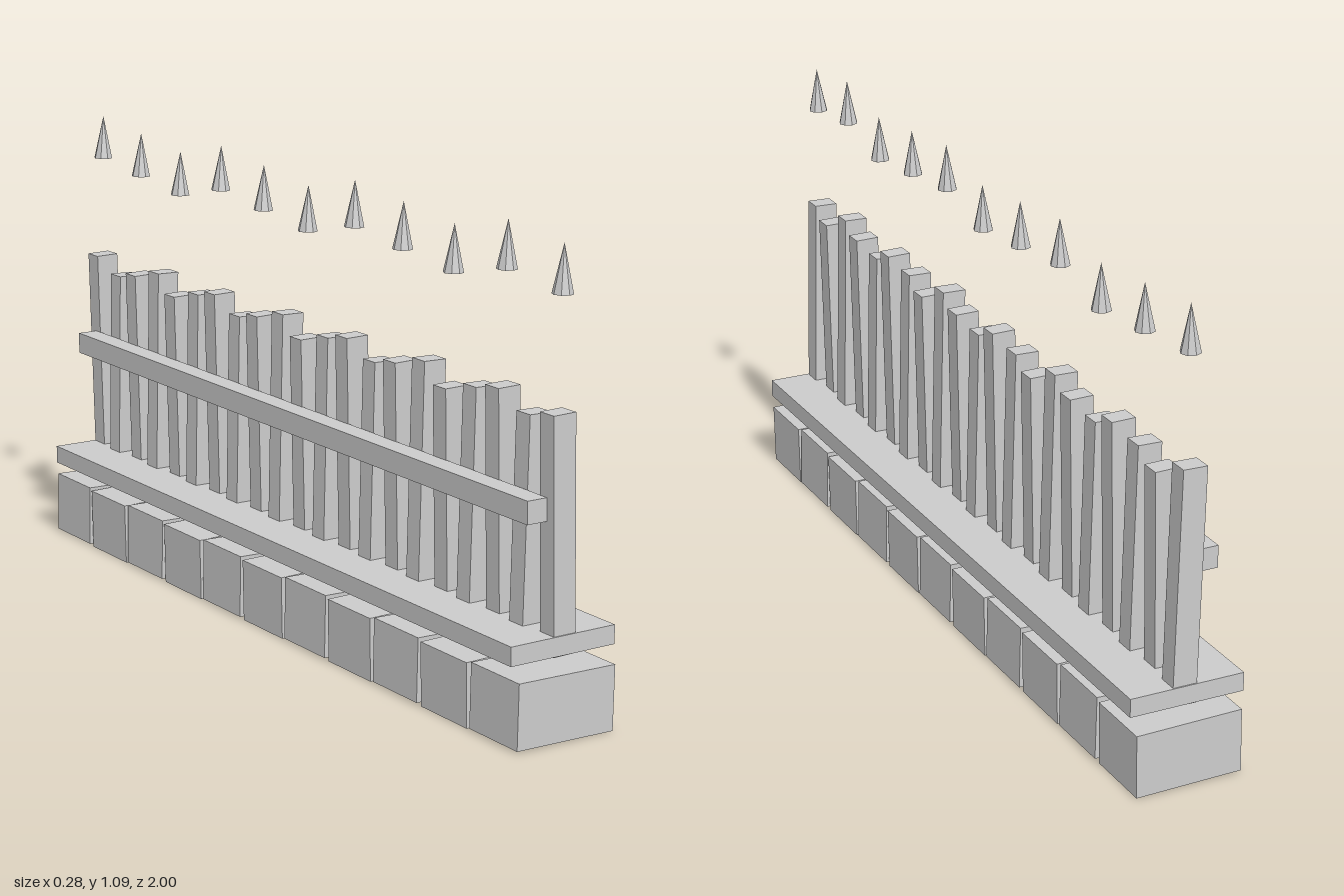
import * as THREE from 'three';

const material = new THREE.MeshStandardMaterial({ color: 0xcccccc, flatShading: true });

function addPart(parent, name, geometry, x, y, z, tilt = 0) {
  const mesh = new THREE.Mesh(geometry, material);
  mesh.name = name;
  mesh.position.set(x, y, z);
  mesh.rotation.z = tilt;
  parent.add(mesh);
  return mesh;
}

export function createModel() {
  const model = new THREE.Group();
  model.name = 'fence';

  // Row of foundation stones, tilted alternately
  const stones = new THREE.Group();
  stones.name = 'foundationStones';
  const stoneCount = 11, stonePitch = 0.183;
  const stone = new THREE.BoxGeometry(0.257, 0.15, 0.17);
  for (let i = 0; i < stoneCount; i++) {
    const z = ((stoneCount - 1) / 2 - i) * stonePitch;
    addPart(stones, 'stone', stone, 0, 0.0775, z, i % 2 ? 0.018 : -0.018);
  }
  model.add(stones);

  // Base plank and the rail behind the pickets
  addPart(model, 'basePlank', new THREE.BoxGeometry(0.277, 0.044, 1.97), 0, 0.212, 0);
  addPart(model, 'rail', new THREE.BoxGeometry(0.052, 0.052, 1.915), -0.055, 0.509, 0);

  // Pickets of three repeating heights, a spike tip hovering over every second one
  const pickets = new THREE.Group();
  pickets.name = 'pickets';
  const tips = new THREE.Group();
  tips.name = 'spikeTips';
  const picketCount = 21, picketPitch = 0.0958, picketBottom = 0.188;
  const tops = [0.717, 0.697, 0.737];
  const tip = new THREE.ConeGeometry(0.0235, 0.108, 8);
  for (let i = 0; i < picketCount; i++) {
    const z = ((picketCount - 1) / 2 - i) * picketPitch;
    const top = tops[i % 3];
    const picket = new THREE.BoxGeometry(0.058, top - picketBottom, 0.048);
    addPart(pickets, 'picket', picket, 0, (top + picketBottom) / 2, z, i % 2 ? -0.022 : 0.022);
    if (i % 2 === 0) addPart(tips, 'spikeTip', tip, 0.001, top + 0.304, z, -0.02);
  }
  model.add(pickets, tips);

  return model;
}
